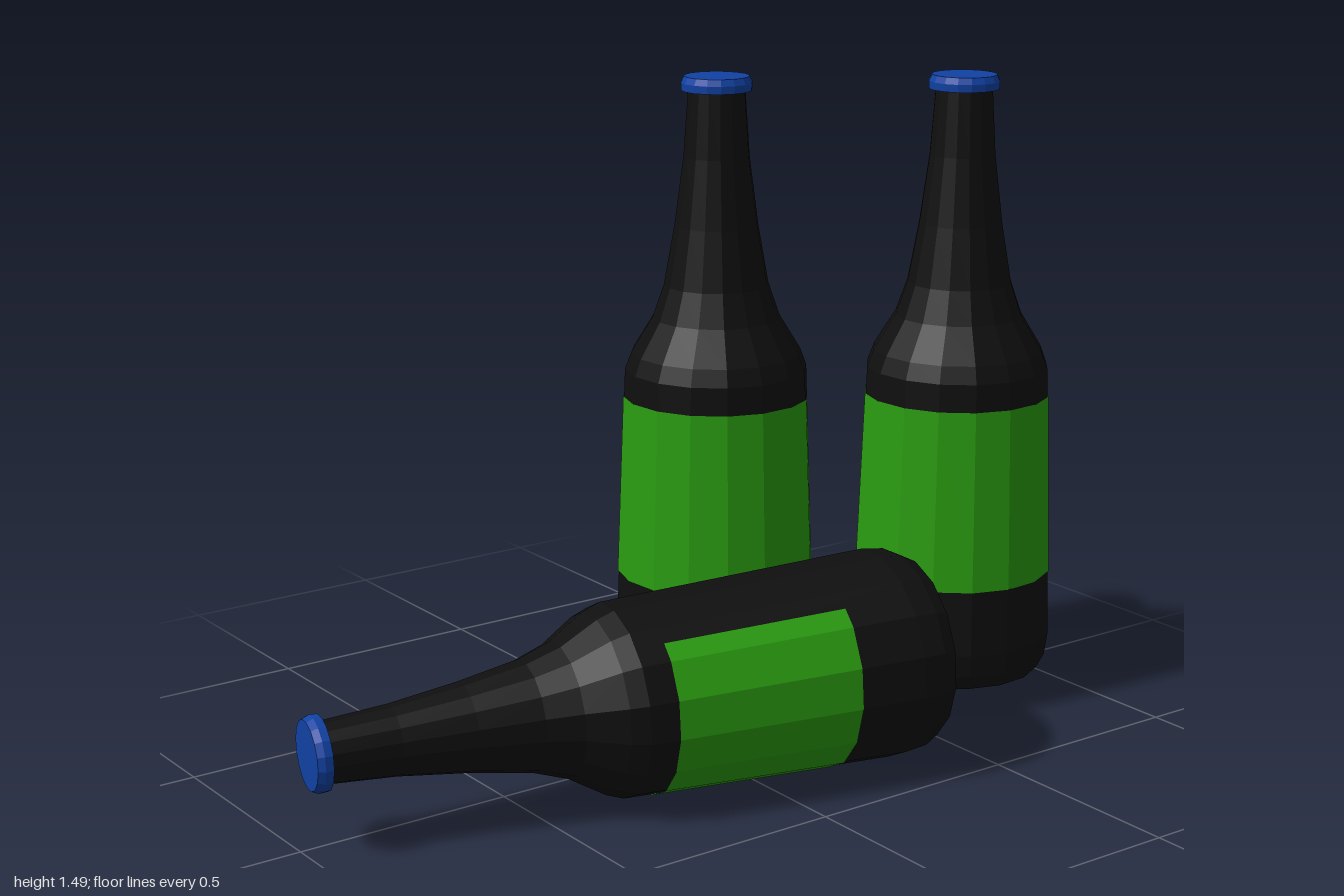
import * as THREE from 'three';

const SIDES = 16;
const STEP = (Math.PI * 2) / SIDES;
const START = THREE.MathUtils.degToRad(-7);
const GAP = THREE.MathUtils.degToRad(40); // half of the bare strip, centred on local +x

const material = (color, side = THREE.FrontSide) =>
  new THREE.MeshStandardMaterial({ color, side, flatShading: true });

function lathe(name, profile, mat) {
  const points = profile.map(([r, y]) => new THREE.Vector2(r, y));
  const mesh = new THREE.Mesh(new THREE.LatheGeometry(points, SIDES, START, Math.PI * 2), mat);
  mesh.name = name;
  return mesh;
}

// Label wrapped on the facets of the body, open towards local +x
function labelGeometry() {
  const from = Math.PI / 2 + GAP, to = Math.PI * 2.5 - GAP;
  const angles = [from];
  for (let i = 0; i < SIDES * 2; i++) {
    const a = START + i * STEP;
    if (a > from && a < to) angles.push(a);
  }
  angles.push(to);
  const rings = [[0.235, 0.245], [0.2193, 0.675]];
  const positions = [], index = [];
  angles.forEach((a, i) => {
    // distance to the flat facet at this angle
    const offset = (((a - START) % STEP) + STEP) % STEP - STEP / 2;
    const flat = Math.cos(STEP / 2) / Math.cos(offset);
    for (const [r, y] of rings) positions.push(r * flat * Math.sin(a), y, r * flat * Math.cos(a));
    if (i) {
      const p = 2 * (i - 1);
      index.push(p, p + 2, p + 1, p + 1, p + 2, p + 3);
    }
  });
  const geometry = new THREE.BufferGeometry();
  geometry.setAttribute('position', new THREE.Float32BufferAttribute(positions, 3));
  geometry.setIndex(index);
  geometry.computeVertexNormals();
  return geometry;
}

export function createModel() {
  const glass = material(0x0f0f0f);
  const paper = material(0x2a9d10, THREE.DoubleSide);
  const metal = material(0x1142a4);

  function bottle(name) {
    const group = new THREE.Group();
    group.name = name;
    // Body with bevelled base, sloping shoulder and long neck
    group.add(lathe('glass', [
      [0, 0], [0.213, 0], [0.231, 0.035], [0.238, 0.09], [0.215, 0.74], [0.2, 0.78],
      [0.15, 0.862], [0.123, 0.94], [0.098, 1.08], [0.077, 1.24], [0.066, 1.4],
    ], glass));
    const label = new THREE.Mesh(labelGeometry(), paper);
    label.name = 'label';
    group.add(label);
    group.add(lathe('cap', [
      [0.06, 1.392], [0.082, 1.392], [0.083, 1.41], [0.076, 1.425], [0, 1.425],
    ], metal));
    return group;
  }

  const model = new THREE.Group();
  model.name = 'bottles';

  // Two upright bottles
  const back = bottle('backBottle');
  back.position.set(0.278, 0.065, -0.273);
  const side = bottle('sideBottle');
  side.position.set(0.757, 0.065, 0.038);

  // Lying bottle: neck towards -x, bare strip upwards
  const lying = bottle('lyingBottle');
  const axis = new THREE.Vector3(-1.395, -0.02, -0.265).normalize();
  const across = new THREE.Vector3(0, 1, 0).cross(axis).normalize();
  const up = axis.clone().cross(across);
  lying.quaternion.setFromRotationMatrix(new THREE.Matrix4().makeBasis(up, axis, across));
  lying.position.set(0.414, 0.239, 0.283);

  model.add(back, side, lying);
  return model;
}
